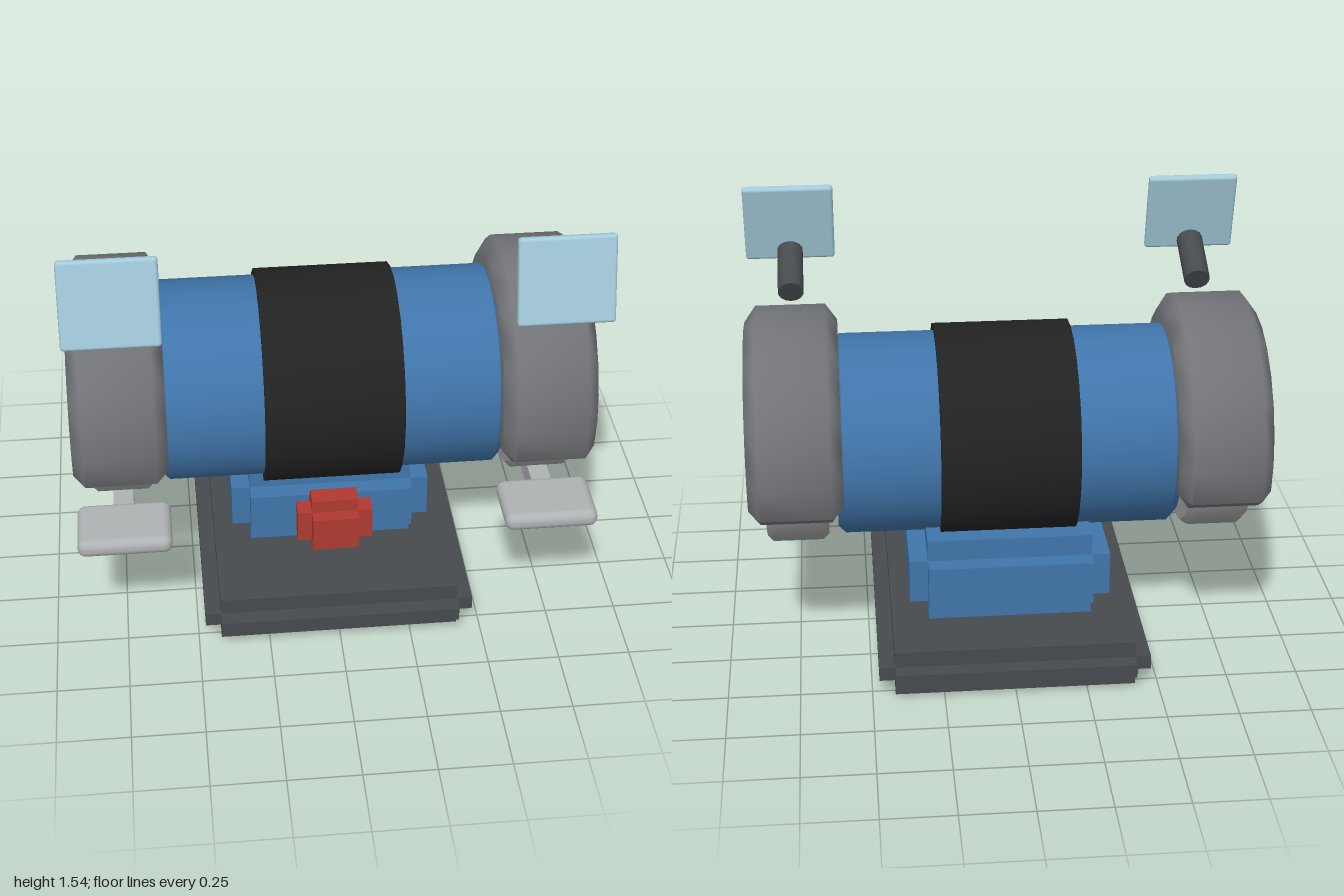
import * as THREE from 'three';
import { toCreasedNormals } from 'three/addons/utils/BufferGeometryUtils.js';
import { RoundedBoxGeometry } from 'three/addons/geometries/RoundedBoxGeometry.js';

const paint = (name, color) => {
  const m = new THREE.MeshStandardMaterial({ color });
  m.name = name;
  return m;
};

function part(parent, name, geometry, material, x = 0, y = 0, z = 0) {
  const mesh = new THREE.Mesh(geometry, material);
  mesh.name = name;
  mesh.position.set(x, y, z);
  parent.add(mesh);
  return mesh;
}

// Block with stepped edges: three crossing boxes, each reaching out along one axis
function steppedBlock(parent, name, material, center, inner, outer) {
  const block = new THREE.Group();
  block.name = name;
  block.position.set(...center);
  for (let axis = 0; axis < 3; axis++) {
    const size = inner.map((h, i) => 2 * (i === axis ? outer[i] : h));
    part(block, name + 'Box', new THREE.BoxGeometry(...size), material);
  }
  parent.add(block);
}

// Drum lying along x with chamfered rims
function drum(radius, halfLength, bevel, sides) {
  const profile = [
    [0, -halfLength], [radius - bevel, -halfLength], [radius, bevel - halfLength],
    [radius, halfLength - bevel], [radius - bevel, halfLength], [0, halfLength],
  ].map(([r, h]) => new THREE.Vector2(r, h));
  return toCreasedNormals(new THREE.LatheGeometry(profile, sides).rotateZ(Math.PI / 2), 0.6);
}

// Outline of the wheel guard: an arc closed by a shallow arch underneath
function guardOutline(radius, lower) {
  const points = [];
  const from = THREE.MathUtils.degToRad(-15.5);
  const sweep = Math.PI - 2 * from;
  for (let i = 0; i <= 14; i++) {
    const a = from + sweep * i / 14;
    points.push(new THREE.Vector2(radius * Math.cos(a), radius * Math.sin(a)));
  }
  for (const [u, v] of lower) points.push(new THREE.Vector2(-u, v));
  for (const [u, v] of [...lower].reverse()) points.push(new THREE.Vector2(u, v));
  return points;
}

// Guard body lofted through outlines, small on both faces and full in the middle
function guardGeometry() {
  const face = guardOutline(0.402, [[0.365, -0.109], [0.3, -0.1], [0.185, -0.088], [0.075, -0.075]]);
  const full = guardOutline(0.459, [[0.37, -0.17], [0.32, -0.15], [0.185, -0.095], [0.075, -0.076]]);
  const layers = [[face, -0.1625], [full, -0.122], [full, 0.122], [face, 0.1625]];
  const n = face.length;
  const positions = layers.flatMap(([outline, w]) => outline.flatMap(p => [p.x, p.y, w]));
  const index = [];
  for (let k = 0; k < 3; k++) {
    for (let i = 0; i < n; i++) {
      const a = k * n + i, b = k * n + (i + 1) % n;
      index.push(a, b, b + n, a, b + n, a + n);
    }
  }
  for (const [a, b, c] of THREE.ShapeUtils.triangulateShape(face, [])) {
    index.push(a + 3 * n, b + 3 * n, c + 3 * n, c, b, a);
  }
  const g = new THREE.BufferGeometry();
  g.setAttribute('position', new THREE.Float32BufferAttribute(positions, 3));
  g.setIndex(index);
  return toCreasedNormals(g.rotateY(Math.PI / 2), 1.0);
}

export function createModel() {
  const model = new THREE.Group();
  model.name = 'benchGrinder';

  const blue = paint('motorBlue', 0x4075aa);
  const black = paint('bandBlack', 0x222222);
  const dark = paint('baseGrey', 0x464b4e);
  const guardGrey = paint('guardGrey', 0x75767a);
  const stone = paint('wheelStone', 0xa6a6a6);
  const steel = paint('steel', 0xafb2b4);
  const red = paint('switchRed', 0xb03a30);
  const glass = paint('shieldGlass', 0xa3cbdb);

  // Base, pedestal and switch
  steppedBlock(model, 'base', dark, [0, 0.083, 0], [0.42, 0.025, 0.527], [0.475, 0.083, 0.584]);
  steppedBlock(model, 'pedestal', blue, [0, 0.318, -0.058], [0.29, 0.08, 0.243], [0.355, 0.157, 0.308]);
  steppedBlock(model, 'switch', red, [0, 0.35, 0.335], [0.082, 0.06, 0.036], [0.132, 0.107, 0.084]);

  // Motor housing and its band
  part(model, 'motorHousing', drum(0.356, 0.597, 0.025, 24), blue, 0, 0.765, 0.007);
  part(model, 'motorBand', drum(0.38, 0.24, 0.001, 24), black, 0, 0.765, 0.01);

  // Grinding stations on both ends
  const guard = guardGeometry();
  const wheel = drum(0.38, 0.108, 0.02, 24);
  const hub = new THREE.CylinderGeometry(0.09, 0.09, 0.33, 10).rotateZ(Math.PI / 2);
  const restPlate = new RoundedBoxGeometry(0.325, 0.066, 0.235, 3, 0.03);
  const restArm = new THREE.BoxGeometry(0.07, 0.08, 0.25);
  const shield = new RoundedBoxGeometry(0.325, 0.3, 0.032, 2, 0.012);
  const shieldArm = new THREE.CylinderGeometry(0.047, 0.047, 0.21, 14);

  for (const [side, s] of [['left', 1], ['right', -1]]) {
    const station = new THREE.Group();
    station.name = side + 'Station';
    station.position.x = s * 0.7385;
    model.add(station);

    part(station, 'wheelGuard', guard, guardGrey, 0, 0.765, 0.015);
    part(station, 'grindingWheel', wheel, stone, 0, 0.765, 0.015);
    part(station, 'hubCap', hub, steel, 0, 0.765, 0.015);
    part(station, 'toolRest', restPlate, steel, 0, 0.446, 0.442);
    part(station, 'toolRestArm', restArm, steel, 0, 0.43, 0.225);

    // Eye shield leaning back on its short arm
    part(station, 'eyeShield', shield, glass, 0, 1.39, 0.491).rotation.x = -0.235;
    part(station, 'shieldArm', shieldArm, dark, 0, 1.237, 0.395).rotation.x = Math.PI / 2 - 0.45;
  }
  return model;
}
